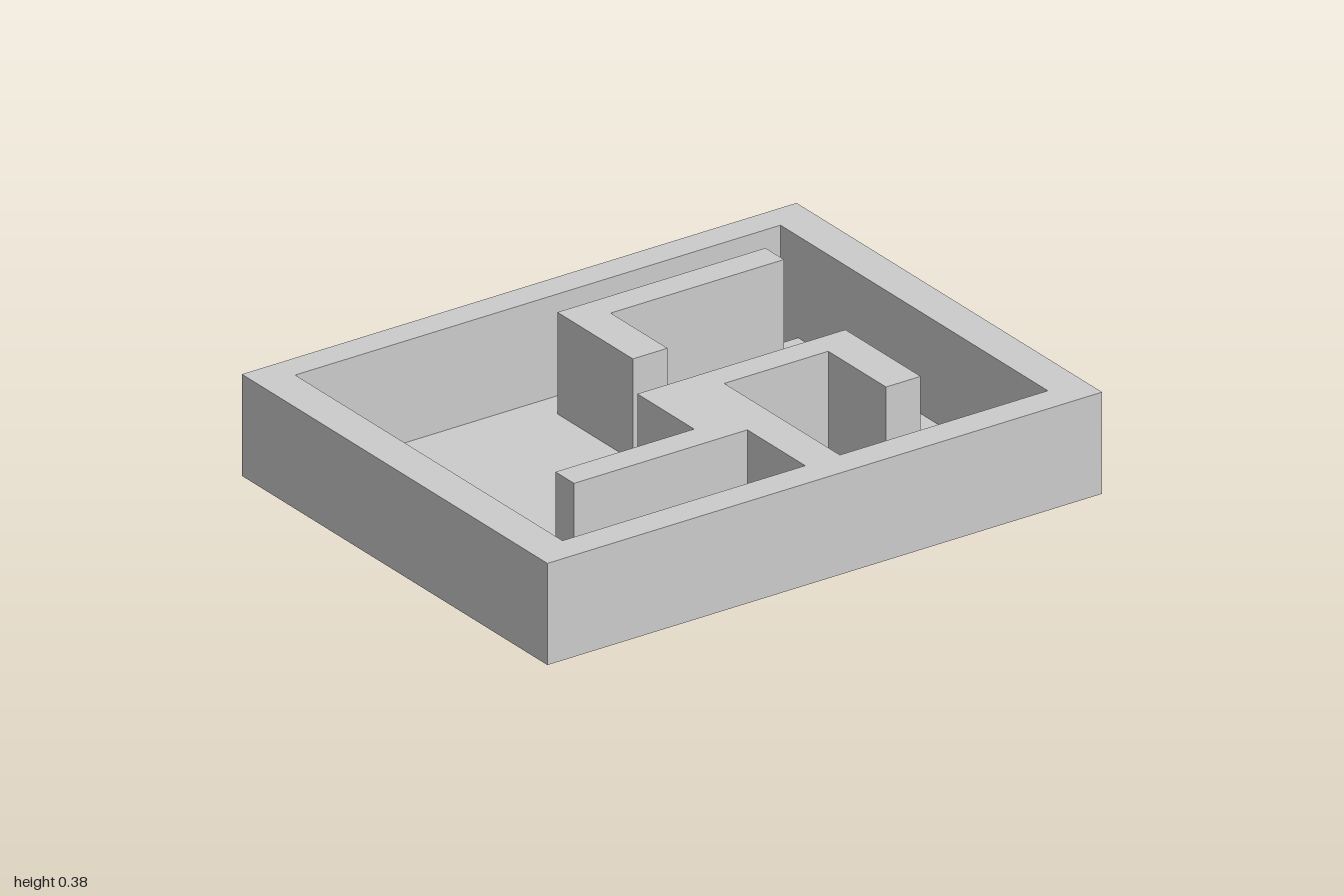
import * as THREE from 'three';

// Plan outlines as [x, z]; each runs so that its walls face the open air
const OUTER = [[-1, 0.78], [1, 0.78], [1, -0.78], [-1, -0.78]];
const ROOM = [
  [0, 0.68], [-0.875, 0.68], [-0.875, -0.685], [0.875, -0.685], [0.875, 0.68], [0.125, 0.68],
  [0.125, 0.09], [0.5, 0.09], [0.5, 0.385], [0.625, 0.385], [0.625, 0], [-0.125, 0],
  [-0.125, 0.29], [-0.625, 0.29], [-0.625, 0.385], [0, 0.385],
];
const ISLAND = [[0, -0.2], [0.125, -0.2], [0.125, -0.49], [0.75, -0.49], [0.75, -0.585], [0, -0.585]];
const PIT = [[0.785, -0.595], [0.785, -0.685], [0.875, -0.685], [0.875, -0.595]];
const PIT_Y = 0, FLOOR_Y = 0.052, TOP_Y = 0.385;

const material = new THREE.MeshStandardMaterial({ color: 0xcccccc, flatShading: true, side: THREE.DoubleSide });

function addMesh(group, name, geometry) {
  const mesh = new THREE.Mesh(geometry, material);
  mesh.name = name;
  group.add(mesh);
}

const toPoints = (outline) => outline.map(([x, z]) => new THREE.Vector2(x, -z));

// Flat horizontal face, looking up
function plate(y, outline, holes = []) {
  const shape = new THREE.Shape(toPoints(outline));
  shape.holes = holes.map((hole) => new THREE.Path(toPoints(hole)));
  return new THREE.ShapeGeometry(shape).rotateX(-Math.PI / 2).translate(0, y, 0);
}

// Vertical faces standing along a closed outline
function walls(outline, y0, y1) {
  const positions = [];
  outline.forEach(([ax, az], i) => {
    const [bx, bz] = outline[(i + 1) % outline.length];
    positions.push(ax, y0, az, bx, y0, bz, bx, y1, bz, ax, y0, az, bx, y1, bz, ax, y1, az);
  });
  const geometry = new THREE.BufferGeometry();
  geometry.setAttribute('position', new THREE.Float32BufferAttribute(positions, 3));
  geometry.computeVertexNormals();
  return geometry;
}

export function createModel() {
  const group = new THREE.Group();
  group.name = 'mazeTray';

  // Hollow walls, open underneath
  addMesh(group, 'outerWalls', walls(OUTER, FLOOR_Y, TOP_Y));
  addMesh(group, 'roomWalls', walls(ROOM, FLOOR_Y, TOP_Y));
  addMesh(group, 'wallTop', plate(TOP_Y, OUTER, [ROOM]));

  // Free-standing L-shaped wall
  addMesh(group, 'islandWalls', walls(ISLAND, FLOOR_Y, TOP_Y));
  addMesh(group, 'islandTop', plate(TOP_Y, ISLAND));

  // Floor, notched at the back corner for the pit
  const floor = [...ROOM];
  floor.splice(3, 1, PIT[1], PIT[0], PIT[3]);
  addMesh(group, 'floor', plate(FLOOR_Y, floor, [ISLAND]));

  // Square pit sunk below the floor
  addMesh(group, 'pitWalls', walls(PIT, PIT_Y, FLOOR_Y));
  addMesh(group, 'pitBottom', plate(PIT_Y, PIT));

  return group;
}
